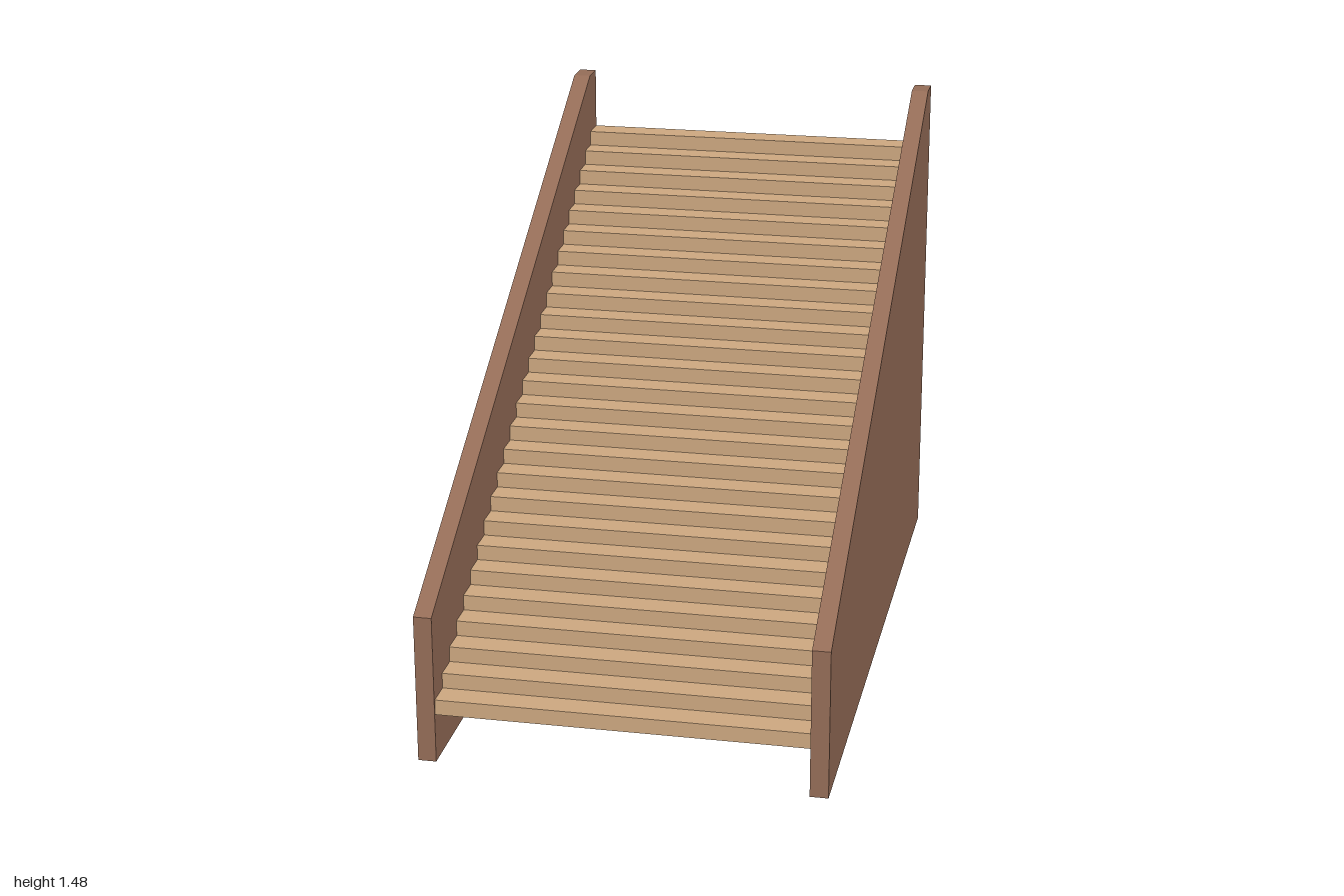
import * as THREE from 'three';

export function createModel() {
  const group = new THREE.Group();
  const panelBrown = new THREE.MeshStandardMaterial({ color: 0x946c57 });
  panelBrown.name = 'panelBrown';
  const treadTan = new THREE.MeshStandardMaterial({ color: 0xcca780 });
  treadTan.name = 'treadTan';

  // Side panels: a sloped profile drawn as (-z, y), extruded across x
  const thickness = 0.051, outerX = 0.569;
  const profile = new THREE.Shape([
    [-1, 0], [1, 0], [1, 1.475], [0.92, 1.475], [-1, 0.43],
  ].map(([u, v]) => new THREE.Vector2(u, v)));
  const panelGeometry = new THREE.ExtrudeGeometry(profile, { depth: thickness, bevelEnabled: false });
  panelGeometry.rotateY(Math.PI / 2);
  for (const [name, x] of [['leftPanel', outerX - thickness], ['rightPanel', -outerX]]) {
    const panel = new THREE.Mesh(panelGeometry, panelBrown);
    panel.name = name;
    panel.position.x = x;
    group.add(panel);
  }

  // Steps: solid boards climbing from front to back, each overlapping the next a little
  const count = 26, bottom = 0.14, top = 1.292, front = 0.994;
  const depth = 0.082, rise = (top - bottom) / count, run = (front + 1 - depth) / (count - 1);
  const steps = new THREE.Group();
  steps.name = 'steps';
  const stepGeometry = new THREE.BoxGeometry(2 * (outerX - thickness), rise, depth);
  for (let i = 0; i < count; i++) {
    const step = new THREE.Mesh(stepGeometry, treadTan);
    step.name = `step${i + 1}`;
    step.position.set(0, bottom + (i + 0.5) * rise, front - depth / 2 - i * run);
    steps.add(step);
  }
  group.add(steps);

  return group;
}
